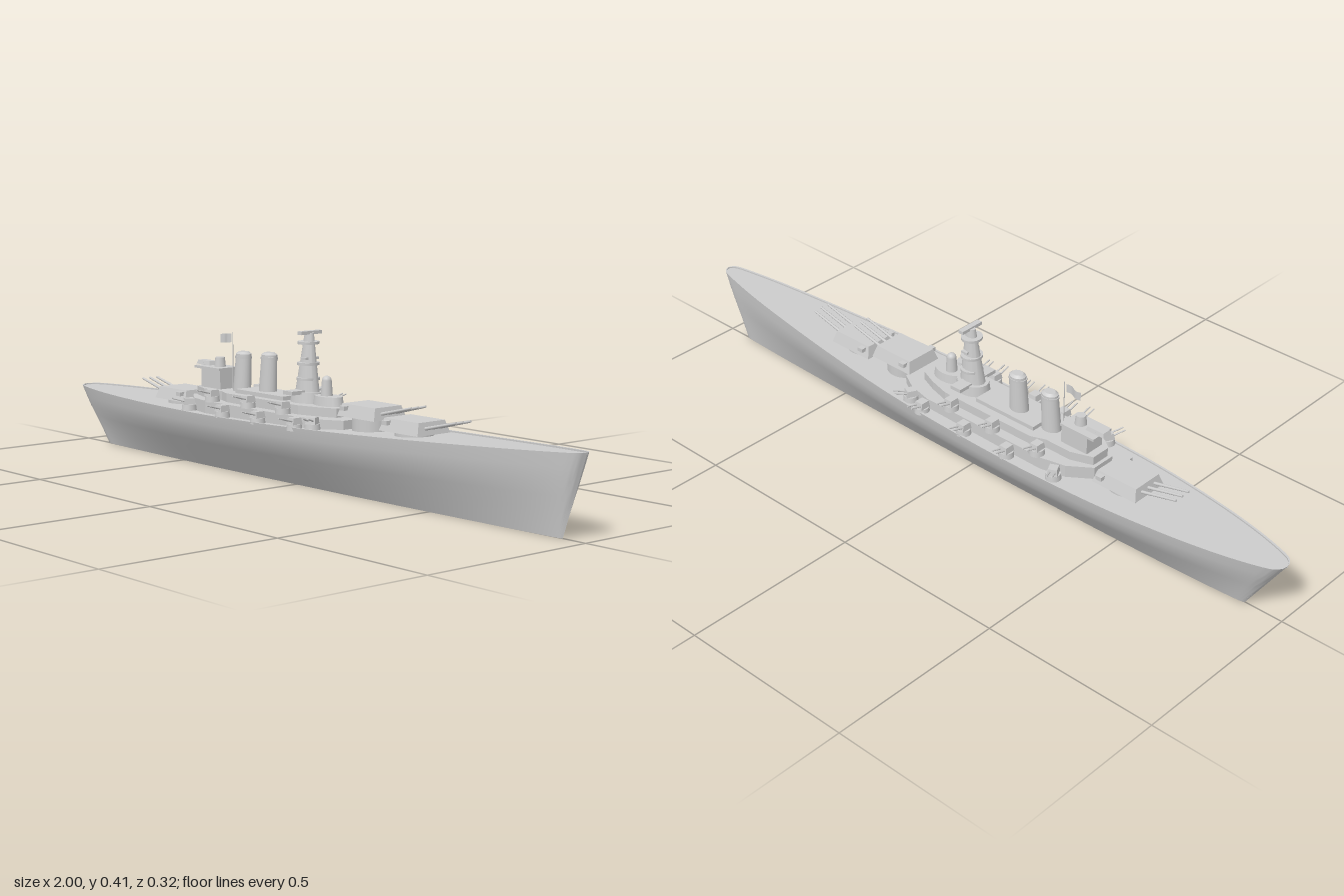
import * as THREE from 'three';
import { toCreasedNormals } from 'three/addons/utils/BufferGeometryUtils.js';

const grey = new THREE.MeshStandardMaterial({ color: 0xcccccc, side: THREE.DoubleSide });
const deckY = (x) => 0.168 + 0.042 * Math.pow(Math.max(0, (x + 0.3) / 1.3), 1.5);

function add(parent, name, geometry, x = 0, y = 0, z = 0) {
  const mesh = new THREE.Mesh(geometry, grey);
  mesh.name = name;
  mesh.position.set(x, y, z);
  parent.add(mesh);
  return mesh;
}

function subgroup(parent, name, x, y, z) {
  const g = new THREE.Group();
  g.name = name;
  g.position.set(x, y, z);
  parent.add(g);
  return g;
}

const box = (w, h, d) => new THREE.BoxGeometry(w, h, d);

// Cylinder or oval cone standing on its base, sheared along x by lean
function column(rTop, rBottom, h, sx = 1, sz = 1, lean = 0, sides = 20) {
  const g = new THREE.CylinderGeometry(rTop, rBottom, h, sides);
  g.translate(0, h / 2, 0).scale(sx, 1, sz);
  const p = g.attributes.position;
  for (let i = 0; i < p.count; i++) p.setX(i, p.getX(i) + (lean * p.getY(i)) / h);
  return g;
}

// Box standing on its base with a smaller roof
function taperBox(l, h, w, topL, topW) {
  const g = box(l, h, w).toNonIndexed().translate(0, h / 2, 0);
  const p = g.attributes.position;
  for (let i = 0; i < p.count; i++) {
    if (p.getY(i) > h / 2) p.setXYZ(i, p.getX(i) * topL, h, p.getZ(i) * topW);
  }
  g.computeVertexNormals();
  return g;
}

// Symmetric plan outline, given along +z from stern to bow, raised to height h
function slab(halfPlan, h) {
  const mirrored = halfPlan.slice().reverse().map(([x, z]) => [x, -z]);
  const pts = halfPlan.concat(mirrored).map(([x, z]) => new THREE.Vector2(x, z));
  return new THREE.ExtrudeGeometry(new THREE.Shape(pts), { depth: h, bevelEnabled: false })
    .rotateX(-Math.PI / 2);
}

function barrel(parent, length, r, x, y, z, elevation) {
  const g = new THREE.CylinderGeometry(r * 0.7, r, length, 10)
    .translate(0, length / 2, 0).rotateZ(-Math.PI / 2);
  add(parent, 'gunBarrel', g, x, y, z).rotation.z = elevation;
}

// Hull lofted from raked sections, with a low rim around the deck
function hullGeometry() {
  const plan = new THREE.SplineCurve([
    [-1, 0], [-0.992, 0.022], [-0.96, 0.042], [-0.85, 0.073], [-0.7, 0.1], [-0.5, 0.122],
    [-0.25, 0.132], [0, 0.132], [0.2, 0.125], [0.4, 0.109], [0.6, 0.087], [0.8, 0.06],
    [0.93, 0.036], [0.985, 0.021], [1, 0],
  ].map(([x, w]) => new THREE.Vector2(x, w)));
  const profile = [[0, 0], [0.17, 0], [0.5, 0.31], [0.69, 0.49], [0.86, 0.66], [0.95, 0.83], [1, 1]];
  const N = 84, pos = [], index = [];
  for (let i = 0; i <= N; i++) {
    const c = plan.getPoint(i / N);
    const x = THREE.MathUtils.clamp(c.x, -1, 1), w = Math.max(0, c.y), top = deckY(x);
    const half = profile.map(([s, f]) => [THREE.MathUtils.lerp(-0.89 + (x + 1) * 0.91, x, f), f * top, w * s]);
    const inner = Math.max(0, w - 0.006);
    half.push([x, top, inner], [x, top - 0.004, inner], [x, top - 0.004, 0]);
    const mirrored = half.slice(1, -1).reverse().map(([a, b, d]) => [a, b, -d]);
    pos.push(...half.concat(mirrored).flat());
  }
  const M = pos.length / 3 / (N + 1);
  for (let i = 0; i < N; i++) {
    for (let j = 0; j < M; j++) {
      const a = i * M + j, d = i * M + ((j + 1) % M), b = a + M, c = d + M;
      index.push(a, b, c, a, c, d);
    }
  }
  const g = new THREE.BufferGeometry();
  g.setAttribute('position', new THREE.Float32BufferAttribute(pos, 3));
  g.setIndex(index);
  return toCreasedNormals(g, 0.6);
}

// Triple-gun main turret facing +x
function mainTurret(parent, x, y, base, heading) {
  const t = subgroup(parent, 'mainTurret', x, y, 0);
  t.rotation.y = heading;
  add(t, 'barbette', column(0.05, 0.05, y - base + 0.004, 1, 1, 0, 28), 0, base - y, 0);
  add(t, 'turretHouse', taperBox(0.14, 0.032, 0.112, 0.88, 0.8));
  add(t, 'rangefinder', box(0.018, 0.011, 0.124), -0.045, 0.022, 0);
  for (const z of [-0.025, 0, 0.025]) barrel(t, 0.115, 0.0045, 0.06, 0.015, z, 0.24);
}

// Twin-gun side mount facing +x
function sideMount(parent, x, y, z, heading) {
  const t = subgroup(parent, 'sideMount', x, y, z);
  t.rotation.y = heading;
  add(t, 'mountBase', column(0.019, 0.021, 0.016));
  add(t, 'mountHouse', taperBox(0.032, 0.018, 0.028, 0.8, 0.85), 0, 0.015, 0);
  for (const dz of [-0.007, 0.007]) barrel(t, 0.038, 0.0026, 0.01, 0.024, dz, 0.27);
}

export function createModel() {
  const ship = new THREE.Group();
  ship.name = 'battleship';
  add(ship, 'hull', hullGeometry());

  // Deckhouses
  add(ship, 'lowerDeckhouse', slab([[-0.43, 0.035], [-0.37, 0.078], [-0.3, 0.094], [0.1, 0.094],
    [0.17, 0.078], [0.22, 0.05]], 0.035), 0, 0.163, 0);
  add(ship, 'upperDeckhouse', slab([[-0.42, 0.028], [-0.36, 0.05], [-0.28, 0.05], [-0.24, 0.066],
    [0.06, 0.066], [0.12, 0.05], [0.17, 0.03]], 0.025), 0, 0.197, 0);
  add(ship, 'funnelHouse', box(0.2, 0.014, 0.085), -0.13, 0.226, 0);

  // Main battery
  mainTurret(ship, 0.43, 0.191, 0.17, 0);
  mainTurret(ship, 0.272, 0.21, 0.165, 0);
  mainTurret(ship, -0.51, 0.174, 0.16, Math.PI);

  // Secondary battery on both sides
  for (const s of [1, -1]) {
    for (const x of [-0.2, -0.05, 0.1]) sideMount(ship, x, 0.166, s * 0.112, -s * Math.PI / 2);
    for (const x of [-0.28, -0.125, 0.02]) sideMount(ship, x, 0.197, s * 0.084, -s * Math.PI / 2);
    sideMount(ship, -0.355, 0.168, s * 0.106, -s * 2.05);
    sideMount(ship, 0.155, 0.172, s * 0.098, -s * 1.1);
  }

  // Funnels with rims and caps
  for (const [x, h] of [[-0.255, 0.105], [-0.145, 0.112]]) {
    const f = subgroup(ship, 'funnel', x, 0.22, 0);
    add(f, 'funnelStack', column(0.024, 0.028, h, 1, 0.82, 0.008));
    add(f, 'funnelRim', column(0.026, 0.026, 0.006, 1, 0.82), 0.007, h - 0.012, 0);
    add(f, 'funnelCap', column(0.016, 0.024, 0.006, 1, 0.82), 0.008, h, 0);
  }

  // Forward tower and its platforms
  const tower = subgroup(ship, 'forwardTower', 0.02, 0.22, 0);
  add(tower, 'towerBase', column(0.042, 0.046, 0.03, 1.1, 0.9));
  add(tower, 'bridgeWing', box(0.035, 0.01, 0.136), 0, 0.03, 0);
  add(tower, 'towerShaft', column(0.013, 0.036, 0.165, 1.1, 0.78, 0.008, 12), 0, 0.02, 0);
  for (const [y, r] of [[0.06, 0.032], [0.1, 0.031], [0.155, 0.03]]) {
    add(tower, 'towerPlatform', column(r, r, 0.007, 0.92, 1), 0.004, y, 0);
  }
  add(tower, 'searchlightShelf', box(0.02, 0.006, 0.048), 0.01, 0.118, 0);
  add(tower, 'towerHead', column(0.009, 0.012, 0.022), 0.01, 0.16, 0);
  add(tower, 'rangefinder', box(0.016, 0.009, 0.072), 0.01, 0.1855, 0);

  // Conning tower ahead of the forward tower
  add(ship, 'conningPlatform', column(0.036, 0.04, 0.026, 1.25, 0.8), 0.105, 0.22, 0);
  add(ship, 'conningTower', column(0.013, 0.016, 0.04), 0.098, 0.245, 0);
  add(ship, 'conningDome', new THREE.SphereGeometry(0.013, 16, 8, 0, Math.PI * 2, 0, Math.PI / 2), 0.098, 0.285, 0);

  // Aft control tower
  const aft = subgroup(ship, 'aftTower', -0.36, 0.22, 0);
  add(aft, 'aftHouse', box(0.085, 0.055, 0.06), 0.004, 0.0275, 0);
  add(aft, 'aftRoof', box(0.11, 0.007, 0.07), -0.008, 0.0565, 0);
  add(aft, 'aftDirector', column(0.013, 0.016, 0.026), 0.008, 0.06, 0);
  add(aft, 'aftRangefinderBase', column(0.014, 0.014, 0.008), -0.05, 0.058, 0);
  add(aft, 'aftRangefinder', taperBox(0.06, 0.011, 0.03, 0.85, 0.8), -0.05, 0.061, 0);

  // Flagstaff and flag
  add(ship, 'flagstaff', column(0.0012, 0.0016, 0.16, 1, 1, 0, 6), -0.295, 0.22, 0);
  const flag = new THREE.PlaneGeometry(0.048, 0.024, 12, 1);
  const p = flag.attributes.position;
  for (let i = 0; i < p.count; i++) {
    p.setZ(i, 0.004 * Math.sin(p.getX(i) * 130));
    p.setY(i, p.getY(i) + 0.1 * p.getX(i));
  }
  flag.computeVertexNormals();
  add(ship, 'flag', flag, -0.325, 0.361, 0);
  return ship;
}
